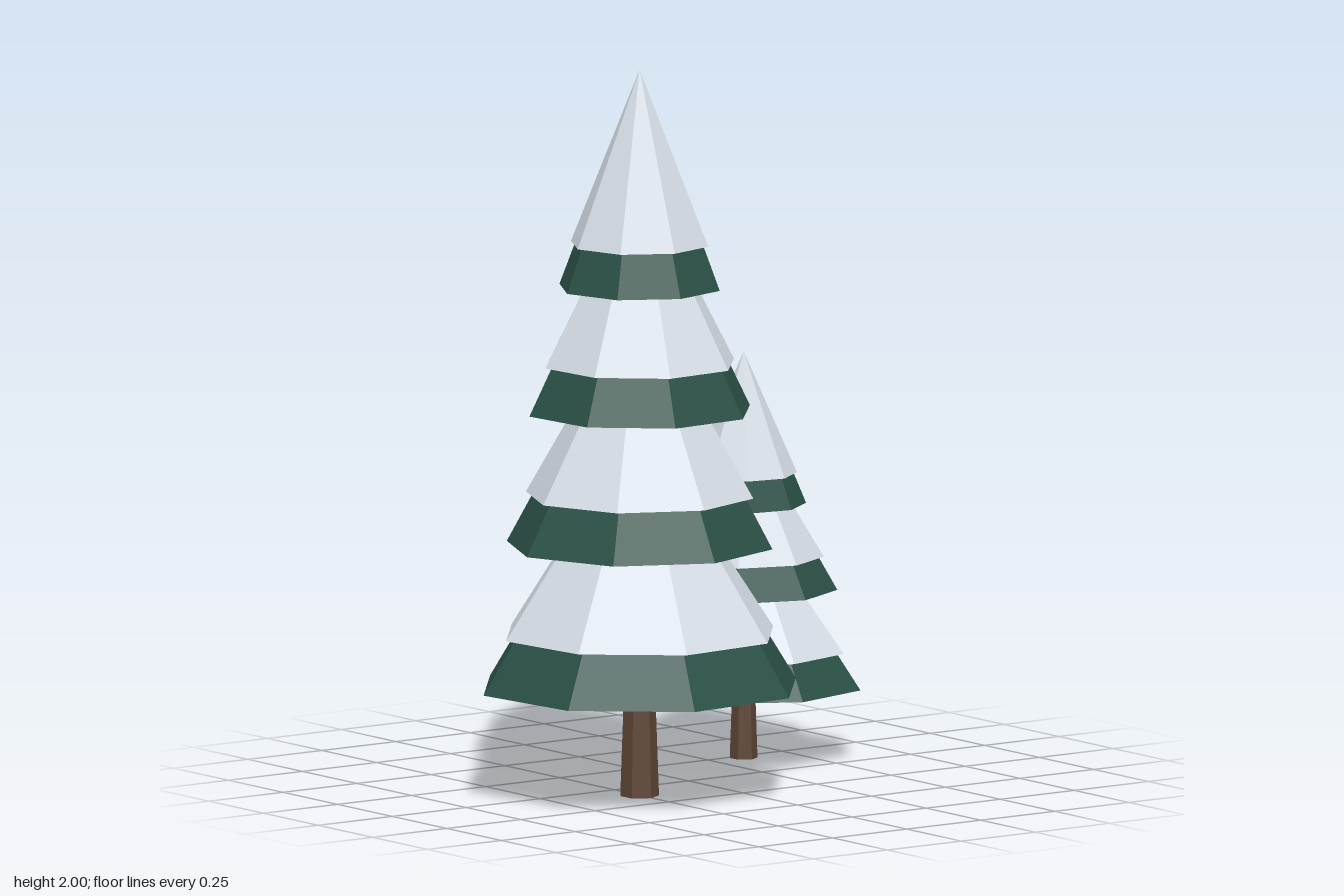
import * as THREE from 'three';

const makeMaterial = (name, color) => {
  const m = new THREE.MeshStandardMaterial({ color, flatShading: true });
  m.name = name;
  return m;
};

// Each tier: [base height, base radius, cone height, turn]
const TREES = [
  {
    name: 'tallTree', x: -0.253, z: 0.12,
    trunk: { bottom: 0.053, top: 0.041, height: 0.34 },
    tiers: [
      [0.30, 0.45, 0.73, 0.49],
      [0.69, 0.368, 0.69, 0.74],
      [1.06, 0.315, 0.65, 0.465],
      [1.40, 0.226, 0.60, 0.665],
    ],
  },
  {
    name: 'smallTree', x: 0.351, z: -0.223,
    trunk: { bottom: 0.038, top: 0.03, height: 0.23 },
    tiers: [
      [0.20, 0.33, 0.49, 0.66],
      [0.465, 0.255, 0.455, 0.085],
      [0.70, 0.17, 0.42, 0.234],
    ],
  },
];

const SNOW_START = 0.2; // share of each tier left green
const SNOW_FLARE = 1.07; // snow stands slightly proud of the branches

export function createModel() {
  const green = makeMaterial('pineGreen', 0x2a5046);
  const white = makeMaterial('snowWhite', 0xe4ecf5);
  const brown = makeMaterial('barkBrown', 0x5e4638);

  // Eight-sided cone standing on height y
  const cone = (name, material, y, radius, height, turn) => {
    const geometry = new THREE.ConeGeometry(radius, height, 8);
    geometry.rotateY(turn);
    geometry.translate(0, y + height / 2, 0);
    const mesh = new THREE.Mesh(geometry, material);
    mesh.name = name;
    return mesh;
  };

  const model = new THREE.Group();
  model.name = 'snowyPines';

  for (const { name, x, z, trunk, tiers } of TREES) {
    const tree = new THREE.Group();
    tree.name = name;
    tree.position.set(x, 0, z);

    // Tapered six-sided trunk
    const trunkGeometry = new THREE.CylinderGeometry(trunk.top, trunk.bottom, trunk.height, 6);
    trunkGeometry.translate(0, trunk.height / 2, 0);
    const trunkMesh = new THREE.Mesh(trunkGeometry, brown);
    trunkMesh.name = 'trunk';
    tree.add(trunkMesh);

    // Green branches, each with a snow cap sharing the same tip
    tiers.forEach(([y, radius, height, turn], i) => {
      const rest = 1 - SNOW_START;
      tree.add(
        cone(`branches${i + 1}`, green, y, radius, height * 0.99, turn),
        cone(`snow${i + 1}`, white, y + height * SNOW_START, radius * rest * SNOW_FLARE, height * rest, turn),
      );
    });
    model.add(tree);
  }
  return model;
}
